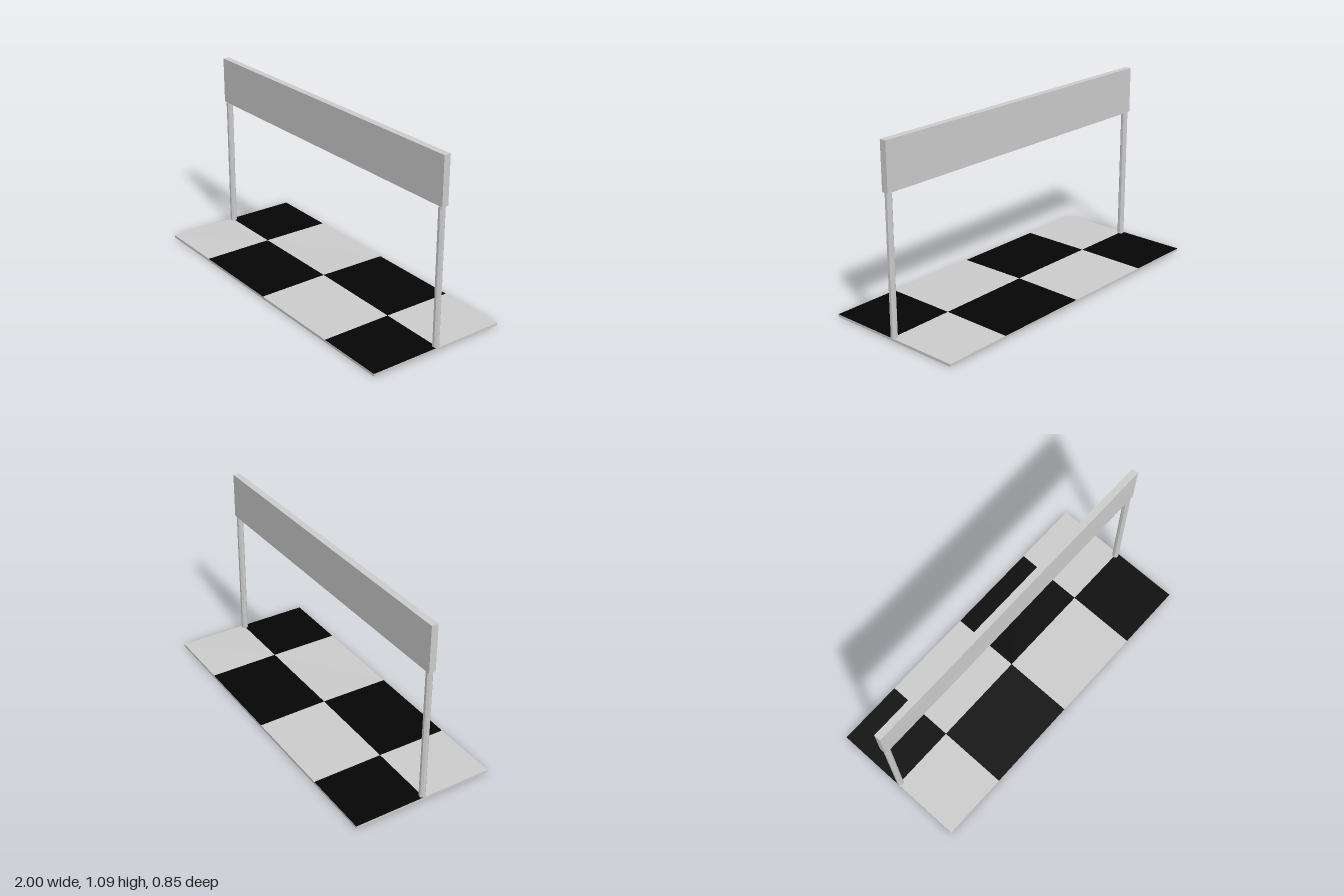
import * as THREE from 'three';

const grey = new THREE.MeshStandardMaterial({ color: 0xcccccc, flatShading: true, side: THREE.DoubleSide });
const black = new THREE.MeshStandardMaterial({ color: 0x050505, flatShading: true, side: THREE.DoubleSide });

const HALF_X = 0.995, HALF_Z = 0.425, EDGE_Y = 0.015, CROWN = 0.005;

function add(parent, name, geometry, material, x = 0, y = 0, z = 0) {
  const mesh = new THREE.Mesh(geometry, material);
  mesh.name = name;
  mesh.position.set(x, y, z);
  parent.add(mesh);
  return mesh;
}

// Mat surface rises very slightly from its rim to the middle
const matHeight = (x, z) =>
  EDGE_Y + CROWN * (1 - Math.abs(x) / HALF_X) * (1 - Math.abs(z) / HALF_Z);

function tile(x0, x1, z0, z1) {
  const g = new THREE.PlaneGeometry(x1 - x0, z1 - z0).rotateX(-Math.PI / 2);
  g.translate((x0 + x1) / 2, 0, (z0 + z1) / 2);
  const p = g.attributes.position;
  for (let i = 0; i < p.count; i++) p.setY(i, matHeight(p.getX(i), p.getZ(i)));
  g.computeVertexNormals();
  return g;
}

export function createModel() {
  const model = new THREE.Group();
  model.name = 'finishGate';

  // Chequered mat: two rows of four tiles
  const mat = new THREE.Group();
  mat.name = 'chequeredMat';
  model.add(mat);
  const xs = [-HALF_X, -0.585, 0, 0.585, HALF_X];
  const zs = [-HALF_Z, 0, HALF_Z];
  for (let row = 0; row < 2; row++) {
    for (let col = 0; col < 4; col++) {
      const dark = (row + col) % 2 === 0;
      add(mat, dark ? 'blackTile' : 'greyTile',
        tile(xs[col], xs[col + 1], zs[row], zs[row + 1]), dark ? black : grey);
    }
  }

  // Thin skirt around the mat, open underneath
  for (const s of [-1, 1]) {
    const long = new THREE.PlaneGeometry(2 * HALF_X, EDGE_Y);
    const short = new THREE.PlaneGeometry(2 * HALF_Z, EDGE_Y);
    if (s < 0) long.rotateY(Math.PI);
    short.rotateY(s * Math.PI / 2);
    add(mat, 'longSkirt', long, grey, 0, EDGE_Y / 2, s * HALF_Z);
    add(mat, 'shortSkirt', short, grey, s * HALF_X, EDGE_Y / 2, 0);
  }

  // Octagonal posts, flat sides facing the axes
  const postBottom = 0.012, postTop = 0.812;
  const post = new THREE.CylinderGeometry(0.0195, 0.0195, postTop - postBottom, 8).rotateY(Math.PI / 8);
  for (const s of [-1, 1]) {
    add(model, s > 0 ? 'leftPost' : 'rightPost', post, grey, s * 0.977, (postBottom + postTop) / 2, 0);
  }

  // Banner board across the top
  add(model, 'bannerBoard', new THREE.BoxGeometry(2, 0.275, 0.04), grey, 0, 0.9525, 0);

  return model;
}
